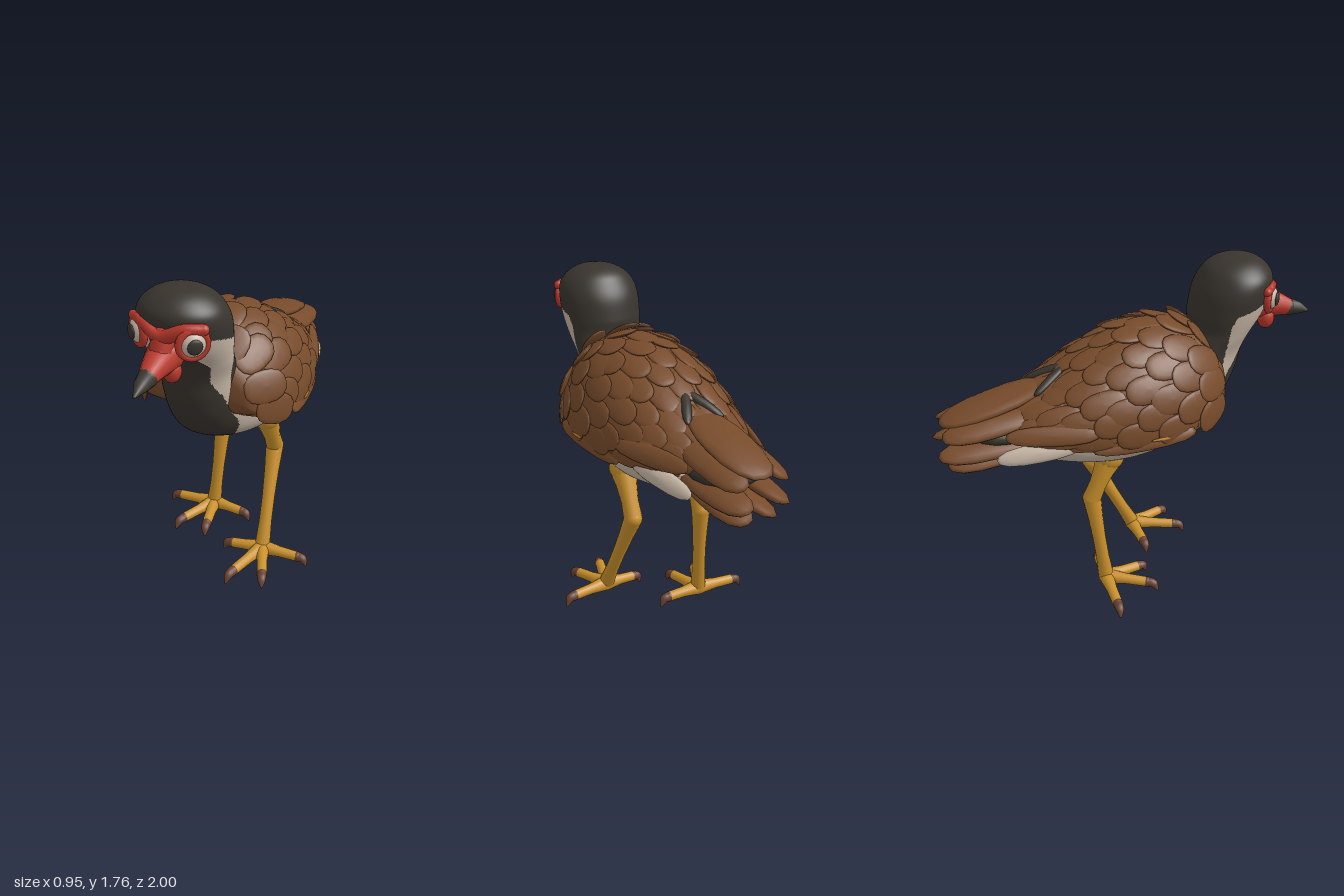
import * as THREE from 'three';

const material = (name, color) => {
  const m = new THREE.MeshStandardMaterial({ color });
  m.name = name;
  return m;
};
const black = material('charcoal plumage', 0x39342e);
const cream = material('cream plumage', 0xc6b6a5);
const brown = material('brown plumage', 0x774b2b);
const yellow = material('ochre legs', 0xc9902b);
const red = material('red wattle', 0xb8382b);
const clawBrown = material('claw brown', 0x66402f);

const V = (x, y, z) => new THREE.Vector3(x, y, z);

// Linear lookup in rows of [key, ...values], keys ascending
function lookup(rows, key) {
  let i = 0;
  while (i < rows.length - 2 && key > rows[i + 1][0]) i++;
  const a = rows[i], b = rows[i + 1];
  const t = THREE.MathUtils.clamp((key - a[0]) / (b[0] - a[0]), 0, 1);
  return a.slice(1).map((v, k) => v + (b[k + 1] - v) * t);
}

function add(parent, name, geometry, mat) {
  const mesh = new THREE.Mesh(geometry, mat);
  mesh.name = name;
  parent.add(mesh);
  return mesh;
}

function ball(parent, name, mat, p, sx, sy = sx, sz = sx) {
  const mesh = add(parent, name, new THREE.SphereGeometry(1, 16, 10), mat);
  mesh.position.copy(p);
  mesh.scale.set(sx, sy, sz);
}

// Tapered round limb through points, with rounded ends
function limb(parent, name, mat, points, radii) {
  const curve = new THREE.CatmullRomCurve3(points);
  const seg = 16, sides = 14;
  const geo = new THREE.TubeGeometry(curve, seg, 1, sides);
  const pos = geo.attributes.position, v = V();
  const rows = radii.map((r, i) => [i / (radii.length - 1), r]);
  for (let i = 0; i <= seg; i++) {
    const c = curve.getPointAt(i / seg), r = lookup(rows, i / seg)[0];
    for (let j = 0; j <= sides; j++) {
      const k = i * (sides + 1) + j;
      v.fromBufferAttribute(pos, k).sub(c).multiplyScalar(r).add(c);
      pos.setXYZ(k, v.x, v.y, v.z);
    }
  }
  add(parent, name, geo, mat);
  ball(parent, name + 'Start', mat, points[0], radii[0]);
  ball(parent, name + 'End', mat, points.at(-1), radii.at(-1));
}

// Closed loft of rings; point(t, angle) gives each corner
function loft(rings, sides, point) {
  const pos = [], index = [];
  for (let i = 0; i <= rings; i++)
    for (let j = 0; j < sides; j++) {
      pos.push(...point(i / rings, (j / sides) * Math.PI * 2).toArray());
      if (i === rings) continue;
      const a = i * sides + j, b = i * sides + ((j + 1) % sides);
      index.push(a, b, b + sides, a, b + sides, a + sides);
    }
  const geo = new THREE.BufferGeometry();
  geo.setAttribute('position', new THREE.Float32BufferAttribute(pos, 3));
  geo.setIndex(index);
  geo.computeVertexNormals();
  return geo;
}

// Level slices of belly, neck and head: y, half width, front z, back z
const SLICES = [
  [0.778, 0.0005, -0.045, -0.046], [0.787, 0.09, 0.07, -0.17], [0.82, 0.19, 0.2, -0.36],
  [0.87, 0.26, 0.32, -0.53], [0.93, 0.292, 0.42, -0.66], [1.0, 0.293, 0.49, -0.69],
  [1.1, 0.255, 0.555, -0.42], [1.2, 0.21, 0.595, -0.05], [1.3, 0.185, 0.615, 0.2],
  [1.4, 0.2, 0.65, 0.325], [1.5, 0.214, 0.715, 0.34], [1.6, 0.217, 0.75, 0.36],
  [1.67, 0.2, 0.757, 0.395], [1.72, 0.155, 0.725, 0.435], [1.753, 0.09, 0.67, 0.5],
  [1.767, 0.0005, 0.59, 0.589],
];
// Bib: y, half width, rear z
const BIB = [[0.83, 0.02, 0.2], [0.86, 0.1, 0.24], [0.92, 0.15, 0.3], [1, 0.185, 0.36], [1.1, 0.2, 0.43], [1.22, 0.185, 0.5]];
// Cheek stripe: y, rear z, front z
const CHEEK = [[1.2, 0.44, 0.495], [1.3, 0.455, 0.56], [1.4, 0.465, 0.6], [1.47, 0.475, 0.68], [1.52, 0.5, 0.75], [1.57, 0.68, 0.75]];

function isBlack(x, y, z) {
  if (y < 0.83) return false;
  if (y < 1.22) {
    const [w, back] = lookup(BIB, y);
    return Math.abs(x) < w && z > back;
  }
  if (y > 1.57) return true;
  const [back, front] = lookup(CHEEK, y);
  return z < back || z > front || Math.abs(x) < 0.1;
}

function buildBody(parent) {
  const sides = new THREE.CatmullRomCurve3(SLICES.map(s => V(s[1], s[0], s[2])), false, 'catmullrom');
  const backs = new THREE.CatmullRomCurve3(SLICES.map(s => V(0, s[0], s[3])), false, 'catmullrom');
  const geo = loft(190, 170, (t, a) => {
    const p = sides.getPoint(t), b = backs.getPoint(t).z;
    return V(p.x * Math.sin(a) - 0.005, p.y, (p.z + b) / 2 + ((p.z - b) / 2) * Math.cos(a));
  });
  // Sort faces into cream and black groups
  const pos = geo.attributes.position, src = geo.index.array, lists = [[], []];
  for (let i = 0; i < src.length; i += 3) {
    const tri = [src[i], src[i + 1], src[i + 2]], c = V();
    tri.forEach(k => c.add(V().fromBufferAttribute(pos, k)));
    c.divideScalar(3);
    lists[isBlack(c.x, c.y, c.z) ? 1 : 0].push(...tri);
  }
  geo.setIndex([...lists[0], ...lists[1]]);
  geo.addGroup(0, lists[0].length, 0);
  geo.addGroup(lists[0].length, lists[1].length, 1);
  add(parent, 'bodyAndHead', geo, [cream, black]);
}

// Blunt oval feather blade, long axis z, face normal y
const blade = new THREE.SphereGeometry(1, 16, 8);
for (let i = 0, p = blade.attributes.position; i < p.count; i++) {
  const x = Math.abs(p.getX(i)), z = Math.abs(p.getZ(i)), n = 2.5;
  const k = Math.hypot(x, z) / ((x ** n + z ** n) ** (1 / n) || 1);
  p.setX(i, p.getX(i) * k);
  p.setZ(i, p.getZ(i) * k);
}
blade.computeVertexNormals();

function feather(parent, name, mat, from, to, up, halfWidth, thick) {
  const mesh = add(parent, name, blade, mat);
  const t = to.clone().sub(from), half = t.length() / 2;
  t.normalize();
  const x = up.clone().cross(t).normalize(), n = t.clone().cross(x);
  mesh.quaternion.setFromRotationMatrix(new THREE.Matrix4().makeBasis(x, n, t));
  mesh.position.copy(from).add(to).multiplyScalar(0.5);
  mesh.scale.set(halfWidth, thick, half);
}

// Folded wings: z, half width, top y, lower edge y
const CAPE = [
  [-0.78, 0.03, 1.1, 1.06], [-0.66, 0.17, 1.135, 1.04], [-0.55, 0.235, 1.18, 1.025], [-0.4, 0.31, 1.255, 1.02],
  [-0.2, 0.37, 1.375, 1.01], [0, 0.395, 1.46, 1.005], [0.2, 0.385, 1.475, 1.02], [0.34, 0.34, 1.43, 1.06],
  [0.42, 0.285, 1.365, 1.11], [0.455, 0.22, 1.3, 1.16], [0.465, 0.04, 1.24, 1.2],
];
function capePoint(z, a) {
  const [w, top, low] = lookup(CAPE, z), c = Math.cos(a);
  return V(w * Math.sin(a), low + (c > 0 ? top - low : 0.035) * c, z);
}

function buildWings(parent) {
  const wings = new THREE.Group();
  wings.name = 'foldedWings';
  parent.add(wings);
  add(wings, 'wingShell', loft(70, 64, (t, a) => capePoint(0.465 - 1.245 * t, a)), brown);
  // Overlapping covert rows, slightly uneven
  for (let row = 0; row < 9; row++) {
    const n = row % 2 ? 8 : 9;
    for (let k = 0; k < n; k++) {
      const wobble = Math.sin(row * 12.9 + k * 78.2);
      const z = 0.36 - row * 0.105 + wobble * 0.025;
      const a = (k - (n - 1) / 2) * 0.37 + wobble * 0.04;
      const p = capePoint(z, a);
      const t = capePoint(z - 0.06, a).sub(capePoint(z + 0.06, a)).normalize();
      const side = capePoint(z, a + 0.03).sub(capePoint(z, a - 0.03));
      const up = t.clone().cross(side).normalize();
      if (up.dot(V(Math.sin(a), Math.cos(a), 0)) < 0) up.negate();
      const from = p.clone().addScaledVector(t, -0.08).addScaledVector(up, -0.008);
      const to = p.clone().addScaledVector(t, 0.15).addScaledVector(up, 0.009);
      feather(wings, 'covert', brown, from, to, up, 0.08 - row * 0.003, 0.016);
    }
  }
  for (const s of [-1, 1]) {
    // Long flight feathers along the lower edge
    for (let k = 0; k < 4; k++)
      feather(wings, 'flightFeather', brown, V(s * (0.4 - k * 0.014), 1.04 + k * 0.017, 0.22 - k * 0.16),
        V(s * (0.35 - k * 0.045), 1.0 + k * 0.025, -0.3 - k * 0.13), V(s, 0.6, 0), 0.05, 0.018);
    feather(wings, 'lowerFlightFeather', brown, V(s * 0.32, 1.02, -0.05), V(s * 0.2, 0.965, -0.62), V(s, 0.5, 0), 0.035, 0.022);
    feather(wings, 'flankFeather', cream, V(s * 0.315, 1.025, -0.34), V(s * 0.23, 0.965, -0.74), V(s, 0.6, 0), 0.048, 0.026);
    // Small golden edge marks
    feather(wings, 'goldFleck', yellow, V(s * 0.414, 1.035, 0.08), V(s * 0.412, 1.035, -0.02), V(s, 0, 0), 0.008, 0.004);
    feather(wings, 'goldFleck', yellow, V(s * 0.292, 1.075, -0.48), V(s * 0.265, 1.08, -0.56), V(s, 0.3, 0), 0.009, 0.004);
    // Dark chevron on the rump
    feather(wings, 'rumpChevron', black, V(0, 1.305, -0.32), V(s * 0.1, 1.21, -0.51), V(0, 1, -0.5), 0.026, 0.02);
  }
}

function buildTail(parent) {
  const tail = new THREE.Group();
  tail.name = 'tail';
  parent.add(tail);
  ball(tail, 'tailCore', black, V(0, 1.03, -0.66), 0.18, 0.065, 0.19);
  feather(tail, 'centralTailFeather', brown, V(0, 1.225, -0.43), V(0, 1.09, -0.97), V(0, 1, 0), 0.125, 0.036);
  for (const s of [-1, 1]) {
    feather(tail, 'upperTailFeather', brown, V(s * 0.13, 1.14, -0.5), V(s * 0.11, 1.065, -0.975), V(s * 0.4, 1, 0), 0.08, 0.034);
    feather(tail, 'middleTailFeather', brown, V(s * 0.12, 1.0, -0.5), V(s * 0.1, 0.96, -1), V(s * 0.3, 1, 0), 0.085, 0.036);
    feather(tail, 'lowerTailFeather', brown, V(s * 0.07, 0.945, -0.48), V(s * 0.07, 0.88, -0.955), V(s * 0.3, 1, 0), 0.085, 0.034);
  }
}

function buildFace(parent) {
  const face = new THREE.Group();
  face.name = 'face';
  parent.add(face);
  limb(face, 'beakBase', red, [V(-0.02, 1.495, 0.72), V(-0.025, 1.475, 0.81), V(-0.03, 1.45, 0.885)], [0.085, 0.065, 0.042]);
  limb(face, 'beakTip', black, [V(-0.03, 1.452, 0.875), V(-0.032, 1.44, 0.93), V(-0.035, 1.416, 0.992)], [0.046, 0.035, 0.008]);
  limb(face, 'bridge', red, [V(-0.02, 1.59, 0.73), V(-0.02, 1.51, 0.76)], [0.05, 0.06]);
  limb(face, 'brow', red, [V(-0.2, 1.625, 0.66), V(-0.12, 1.625, 0.72), V(-0.02, 1.59, 0.755), V(0.09, 1.635, 0.75), V(0.16, 1.635, 0.715)],
    [0.022, 0.027, 0.034, 0.03, 0.025]);
  for (const [x, z, s] of [[-0.158, 0.7, -1], [0.122, 0.745, 1]]) {
    ball(face, 'wattle', red, V(-0.025 + s * 0.04, 1.425, 0.735), 0.043, 0.055, 0.045);
    // Eye looks outward and forward
    const eye = new THREE.Group();
    eye.name = s > 0 ? 'leftEye' : 'rightEye';
    eye.position.set(x, 1.575, z);
    eye.rotation.y = s * 0.7;
    face.add(eye);
    add(eye, 'eyeRing', new THREE.TorusGeometry(0.062, 0.018, 10, 28), red);
    ball(eye, 'eyeball', cream, V(0, 0, 0), 0.058, 0.058, 0.04);
    ball(eye, 'pupil', black, V(0, 0, 0.034), 0.035, 0.035, 0.011);
  }
}

function buildLeg(parent, name, path, toes) {
  const leg = new THREE.Group();
  leg.name = name;
  parent.add(leg);
  const [hip, knee, ankle] = path;
  limb(leg, 'thigh', yellow, [hip, hip.clone().lerp(knee, 0.5), knee], [0.076, 0.055, 0.045, 0.049]);
  limb(leg, 'shin', yellow, [knee, knee.clone().lerp(ankle, 0.5), ankle], [0.049, 0.04, 0.035, 0.035, 0.042]);
  for (const [x, z] of toes) {
    const tip = V(x, 0.015, z);
    const root = ankle.clone().setY(0.075), mid = root.clone().lerp(tip, 0.45).setY(0.068);
    const end = root.clone().lerp(tip, 0.8).setY(0.062);
    limb(leg, 'toe', yellow, [root, mid, end], [0.042, 0.029, 0.027]);
    limb(leg, 'claw', clawBrown, [end, root.clone().lerp(tip, 0.92).setY(0.055), tip], [0.028, 0.023, 0.007]);
  }
}

export function createModel() {
  const bird = new THREE.Group();
  bird.name = 'wadingBird';
  buildBody(bird);
  buildWings(bird);
  buildTail(bird);
  buildFace(bird);
  buildLeg(bird, 'leftLeg', [V(0.18, 0.83, -0.03), V(0.19, 0.585, -0.145), V(0.22, 0.08, 0.11)],
    [[0.12, 0.4], [0.31, 0.36], [0.47, 0.1], [0, 0.12]]);
  buildLeg(bird, 'rightLeg', [V(-0.16, 0.83, -0.15), V(-0.16, 0.59, -0.25), V(-0.195, 0.08, -0.19)],
    [[-0.33, 0.06], [-0.15, 0.06], [0.03, -0.17], [-0.47, -0.2]]);
  return bird;
}
